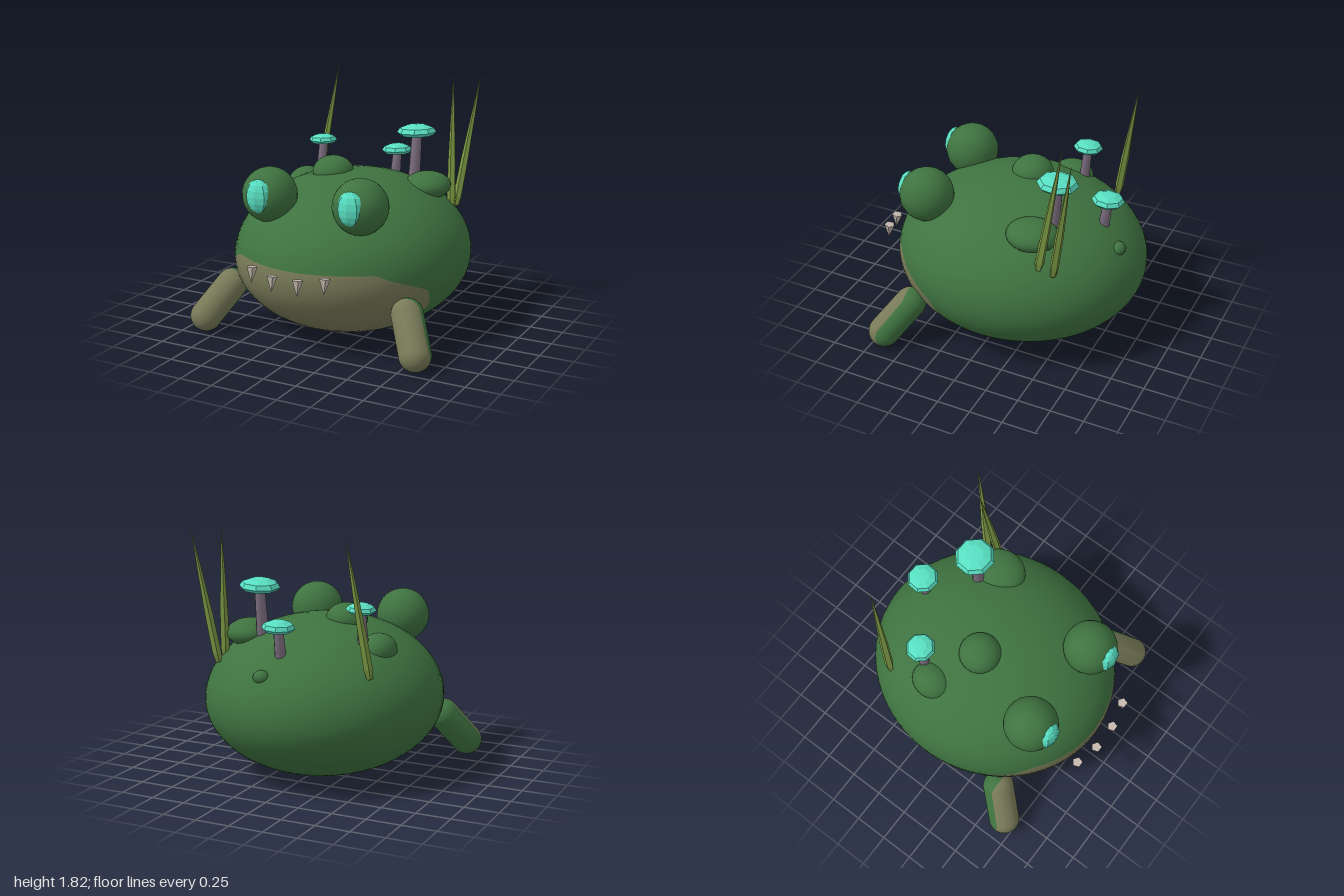
import * as THREE from 'three';

const mat = (name, color, flatShading = false) => {
  const m = new THREE.MeshStandardMaterial({ color, flatShading });
  m.name = name;
  return m;
};

// Edge of the belly patch: [angle around the front axis in degrees, opening angle]
const EDGE = [[-90, 1.05], [-67, 1.08], [-47.6, 1.16], [-27.4, 1.27], [-9.4, 1.16], [4.8, 0.81], [12.5, 0.7], [16, 0.573]];
function bellyEdge(phi) {
  const deg = THREE.MathUtils.radToDeg(Math.asin(Math.sin(phi)));
  if (deg >= 16) return Math.asin(Math.min(1, 0.15 / Math.sin(THREE.MathUtils.degToRad(deg))));
  const k = Math.max(1, EDGE.findIndex((e) => e[0] >= deg));
  const [a, b] = [EDGE[k - 1], EDGE[k]];
  return THREE.MathUtils.mapLinear(deg, a[0], b[0], a[1], b[1]);
}

// Flat-bottomed ellipsoid built in rings around the front axis
function bodyGeometry() {
  const N = 160, inner = 10, rows = 36, pos = [], groups = [[], []];
  const add = (theta, phi) => {
    const v = Math.sin(theta) * Math.sin(phi);
    pos.push(0.86 * Math.sin(theta) * Math.cos(phi),
      Math.max(0.035, 0.55 + v * (v > 0 ? 0.6 : 0.56)),
      -0.065 + 0.935 * Math.cos(theta));
  };
  add(0, 0);
  for (let i = 1; i < rows; i++) for (let j = 0; j < N; j++) {
    const phi = (j / N) * Math.PI * 2, edge = bellyEdge(phi);
    add(i <= inner ? edge * i / inner : edge + (Math.PI - edge) * (i - inner) / (rows - inner), phi);
  }
  add(Math.PI, 0);
  const last = pos.length / 3 - 1;
  const id = (i, j) => (i === 0 ? 0 : i === rows ? last : 1 + (i - 1) * N + (j % N));
  for (let i = 0; i < rows; i++) for (let j = 0; j < N; j++) {
    const out = groups[i < inner ? 0 : 1];
    if (i < rows - 1) out.push(id(i, j), id(i + 1, j), id(i + 1, j + 1));
    if (i > 0) out.push(id(i, j), id(i + 1, j + 1), id(i, j + 1));
  }
  const g = new THREE.BufferGeometry();
  g.setAttribute('position', new THREE.Float32BufferAttribute(pos, 3));
  g.setIndex([...groups[0], ...groups[1]]);
  g.addGroup(0, groups[0].length, 0);
  g.addGroup(groups[0].length, groups[1].length, 1);
  g.computeVertexNormals();
  return g;
}

// Part of a capsule between two points, cut by its facing towards the front
function capsulePart(foot, shoulder, r, start, length) {
  const g = new THREE.SphereGeometry(r, 40, 16, 0, Math.PI * 2, start, length).rotateX(Math.PI / 2);
  const p = g.attributes.position, axis = shoulder.clone().sub(foot), v = new THREE.Vector3();
  for (let i = 0; i < p.count; i++) {
    v.fromBufferAttribute(p, i);
    v.add(v.dot(axis) > 0 ? shoulder : foot);
    p.setXYZ(i, v.x, v.y, v.z);
  }
  return g;
}

export function createModel() {
  const root = new THREE.Group();
  const skin = mat('mossGreen', 0x3f7340);
  const belly = mat('bellyOlive', 0x787a58);
  const glow = mat('turquoise', 0x58dfc2, true);
  const stemMat = mat('stemMauve', 0x7d6f80);
  const toothMat = mat('toothGrey', 0xc4b8ae, true);
  const grass = mat('grassGreen', 0x7c9a45, true);

  const mesh = (name, geo, material, parent = root) => {
    const m = new THREE.Mesh(geo, material);
    m.name = name;
    parent.add(m);
    return m;
  };
  const blob = (name, c, r, material, w = 24, h = 16) => {
    const m = mesh(name, new THREE.SphereGeometry(1, w, h), material);
    m.position.set(...c);
    m.scale.set(...r);
    return m;
  };
  const UP = new THREE.Vector3(0, 1, 0);
  // Lathe swept from one point to another; profile is [radius, fraction of length]
  const spindle = (name, a, b, profile, sides, material) => {
    const from = new THREE.Vector3(...a), dir = new THREE.Vector3(...b).sub(from), len = dir.length();
    const m = mesh(name, new THREE.LatheGeometry(profile.map(([r, t]) => new THREE.Vector2(r, t * len)), sides), material);
    m.position.copy(from);
    m.quaternion.setFromUnitVectors(UP, dir.normalize());
    return m;
  };

  mesh('body', bodyGeometry(), [belly, skin]);

  // Eyes, arms and teeth on both sides
  for (const s of [1, -1]) {
    const side = s > 0 ? 'left' : 'right';
    blob(side + 'Eye', [s * 0.36, 1.068, 0.53], [0.198, 0.198, 0.198], skin);
    blob(side + 'Pupil', [s * 0.36, 1.088, 0.68], [0.102, 0.122, 0.068], glow, 8, 8);

    const arm = new THREE.Group();
    arm.name = side + 'Arm';
    root.add(arm);
    const foot = new THREE.Vector3(s * 0.843, 0.118, 0.66);
    const shoulder = new THREE.Vector3(s * 0.71, 0.34, 0.505);
    const cut = Math.PI * 0.48;
    mesh('armFront', capsulePart(foot, shoulder, 0.115, 0, cut), belly, arm);
    mesh('armBack', capsulePart(foot, shoulder, 0.115, cut, Math.PI - cut), skin, arm);

    for (const [x, y, z] of [[0.285, 0.595, 0.915], [0.1, 0.568, 0.957]]) {
      const tooth = mesh(side + 'Tooth', new THREE.ConeGeometry(0.04, 0.115, 5), toothMat);
      tooth.position.set(s * x, y, z);
      tooth.rotation.x = Math.PI - 0.12;
    }
  }

  // Warts on the back
  blob('wart', [-0.17, 1.125, -0.065], [0.153, 0.12, 0.153], skin);
  blob('wart', [0.46, 1.03, -0.355], [0.172, 0.1, 0.19], skin);
  blob('wart', [-0.5, 0.97, -0.25], [0.132, 0.115, 0.155], skin);
  blob('wart', [0.1, 0.84, -0.86], [0.06, 0.05, 0.05], skin);

  // Mushrooms: base point, cap point, cap radius, cap height, stem radius
  const mushrooms = [
    [[0.31, 0.97, -0.44], [0.315, 1.365, -0.475], 0.148, 0.085, 0.042],
    [[-0.44, 0.97, -0.36], [-0.43, 1.25, -0.39], 0.108, 0.068, 0.036],
    [[0.025, 0.93, -0.71], [0.03, 1.145, -0.738], 0.118, 0.075, 0.038],
  ];
  for (const [base, top, r, h, stemR] of mushrooms) {
    spindle('mushroomStem', base, top, [[0, 0], [stemR * 1.1, 0], [stemR * 0.9, 1.03]], 10, stemMat);
    const cap = mesh('mushroomCap', new THREE.LatheGeometry([
      [0, 0], [r * 0.8, 0], [r, h * 0.3], [r * 0.86, h * 0.68], [r * 0.45, h * 0.95], [0, h],
    ].map((p) => new THREE.Vector2(...p)), 8), glow);
    cap.position.set(...top);
    cap.rotation.set(-0.06, 0.3, 0.06);
  }

  // Grass blades
  const blade = [[0, 0], [0.022, 0.01], [0.033, 0.08], [0.03, 0.35], [0.016, 0.7], [0, 1]];
  const blades = [
    [[0.61, 0.84, -0.465], [0.545, 1.82, -0.605]],
    [[0.6, 0.83, -0.575], [0.71, 1.82, -0.74]],
    [[-0.585, 0.83, -0.58], [-0.475, 1.82, -0.745]],
  ];
  for (const [a, b] of blades) spindle('grassBlade', a, b, blade, 5, grass);

  return root;
}
